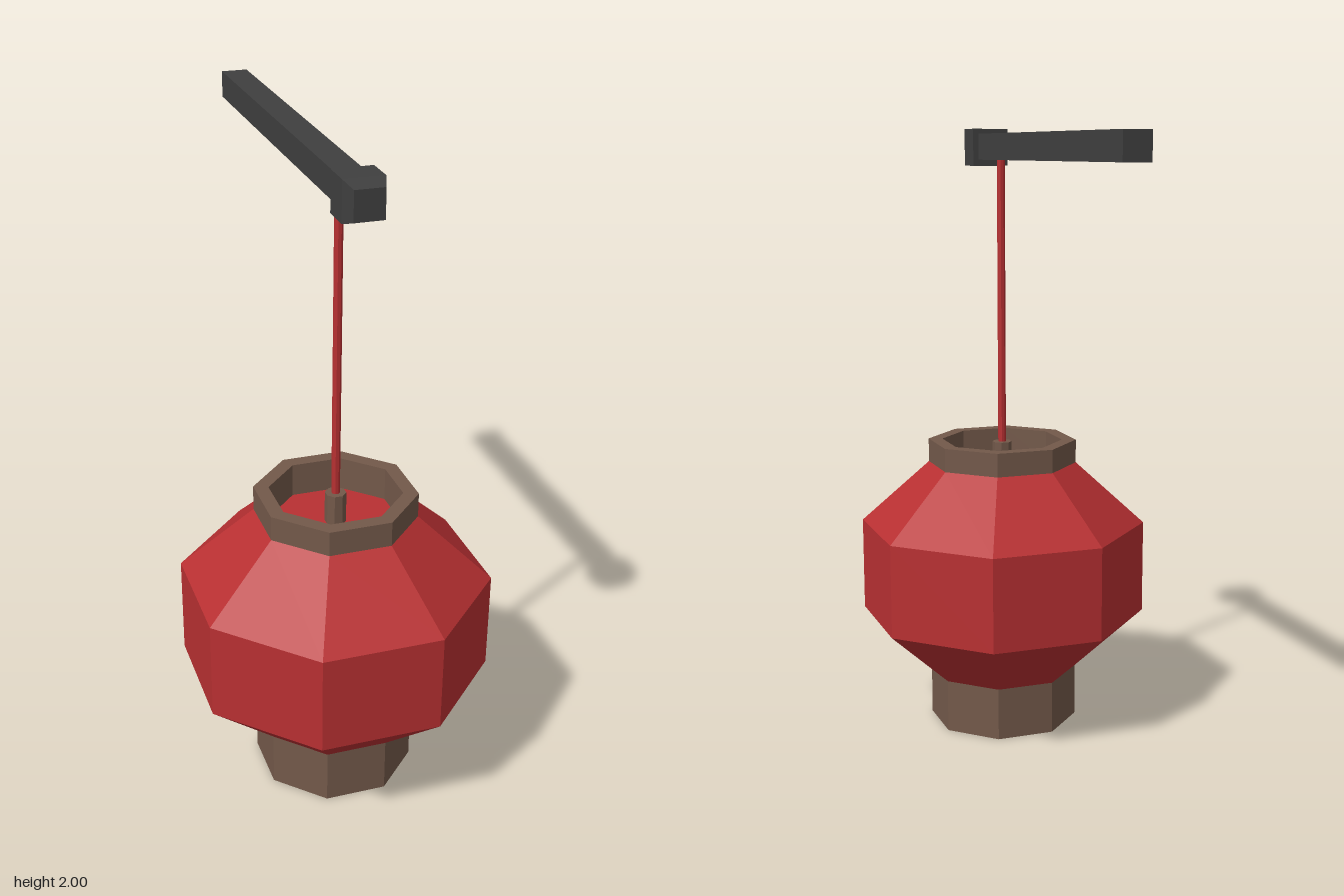
import * as THREE from 'three';

const SQ = Math.SQRT2;

// Faceted turned shape: profile of [apothem, y] pairs, with a flat side facing +z
function faceted(profile, sides) {
  const k = 1 / Math.cos(Math.PI / sides);
  const pts = profile.map(([r, y]) => new THREE.Vector2(r * k, y));
  const geo = new THREE.LatheGeometry(pts, sides, Math.PI / sides).toNonIndexed();
  geo.computeVertexNormals();
  return geo;
}

export function createModel() {
  const red = new THREE.MeshStandardMaterial({ color: 0xb83032 });
  red.name = 'lantern red';
  const brown = new THREE.MeshStandardMaterial({ color: 0x73594a });
  brown.name = 'wood brown';
  const dark = new THREE.MeshStandardMaterial({ color: 0x3f3f3f });
  dark.name = 'pole charcoal';

  const model = new THREE.Group();
  model.name = 'hangingLantern';
  const lantern = new THREE.Group();
  lantern.name = 'lantern';
  lantern.position.z = 0.32;
  model.add(lantern);

  const add = (parent, name, geo, mat) => {
    const mesh = new THREE.Mesh(geo, mat);
    mesh.name = name;
    parent.add(mesh);
    return mesh;
  };

  // Octagonal paper shade with a sunken top
  add(lantern, 'shade', faceted([
    [0.23, 0.175], [0.443, 0.38], [0.443, 0.69], [0.23, 0.897],
  ], 8), red);
  add(lantern, 'shadeTop', faceted([[0.187, 0.87], [0, 0.87]], 8), red);

  // Top rim, its inner wall reaching down to the sunken top
  add(lantern, 'topRim', faceted([
    [0.23, 0.897], [0.23, 0.975], [0.187, 0.975], [0.187, 0.87],
  ], 8), brown);

  // Bottom collar with a recess underneath
  add(lantern, 'bottomCollar', faceted([
    [0, 0.07], [0.14, 0.07], [0.14, 0], [0.23, 0], [0.23, 0.175],
  ], 8), brown);

  // Knob holding the cord, and the cord
  add(lantern, 'cordKnob', faceted([[0.03, 0.87], [0.03, 0.968], [0, 0.968]], 8), brown);
  add(lantern, 'cord', faceted([[0.012, 0.95], [0.012, 1.91]], 8), red);

  // Square pole with a bevelled end cap
  const pole = add(model, 'pole', new THREE.BoxGeometry(0.084, 0.084, 1.2), dark);
  pole.position.set(0, 1.942, -0.165);
  const cap = add(model, 'poleCap', faceted([
    [0, 0.425], [0.06, 0.425], [0.06, 0.518], [0.044, 0.565], [0, 0.565],
  ], 4).rotateX(Math.PI / 2), dark);
  cap.position.y = 1.94;

  return model;
}
